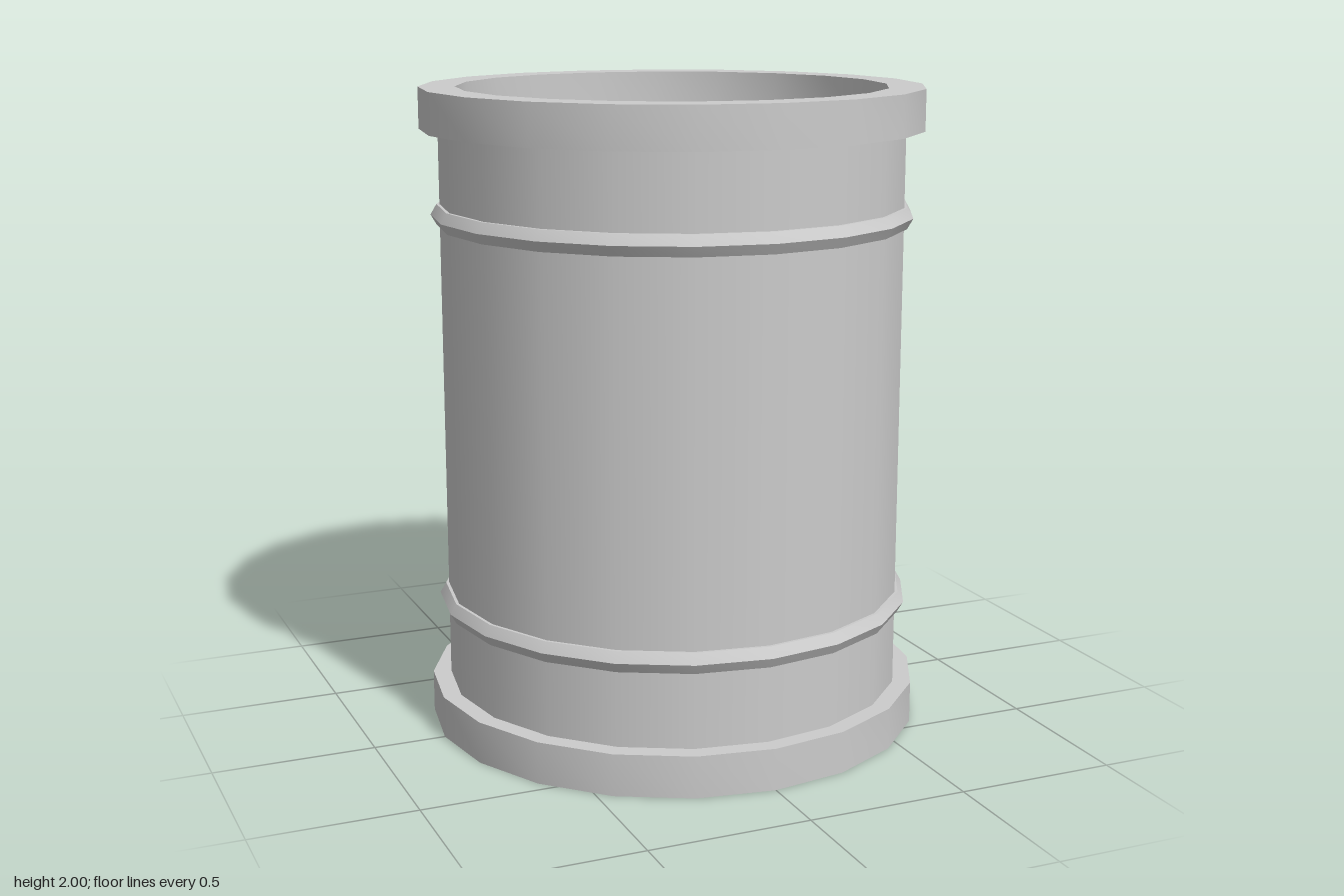
import * as THREE from 'three';
import { toCreasedNormals } from 'three/addons/utils/BufferGeometryUtils.js';

const SIDES = 20;

export function createModel() {
  const group = new THREE.Group();
  const material = new THREE.MeshStandardMaterial({ color: 0xcccccc });

  const add = (name, geometry, y) => {
    const mesh = new THREE.Mesh(geometry, material);
    mesh.name = name;
    mesh.position.y = y;
    group.add(mesh);
  };

  // Spins a closed profile of [radius, height] corners, smooth around but with sharp corners
  const ring = (corners) => {
    const points = [...corners, corners[0]].map(([r, y]) => new THREE.Vector2(r, y));
    return toCreasedNormals(new THREE.LatheGeometry(points, SIDES), 0.6);
  };

  // Drum wall with its two recessed end plates
  const low = 0.13, high = 1.873;
  add('body', new THREE.CylinderGeometry(0.718, 0.718, high - low, SIDES), (low + high) / 2);

  // Raised rims at both ends
  const rim = (height) => ring([[0.775, 0], [0.775, height], [0.663, height], [0.663, 0]]);
  add('bottomRim', rim(low), 0);
  add('topRim', rim(2 - high), high);

  // Six-sided hoops around the wall
  const hexagon = Array.from({ length: 6 }, (_, i) => {
    const a = (i * Math.PI) / 3;
    return [0.709 + 0.037 * Math.cos(a), 0.037 * Math.sin(a)];
  });
  add('lowerHoop', ring(hexagon), 0.397);
  add('upperHoop', ring(hexagon), 1.611);

  return group;
}
